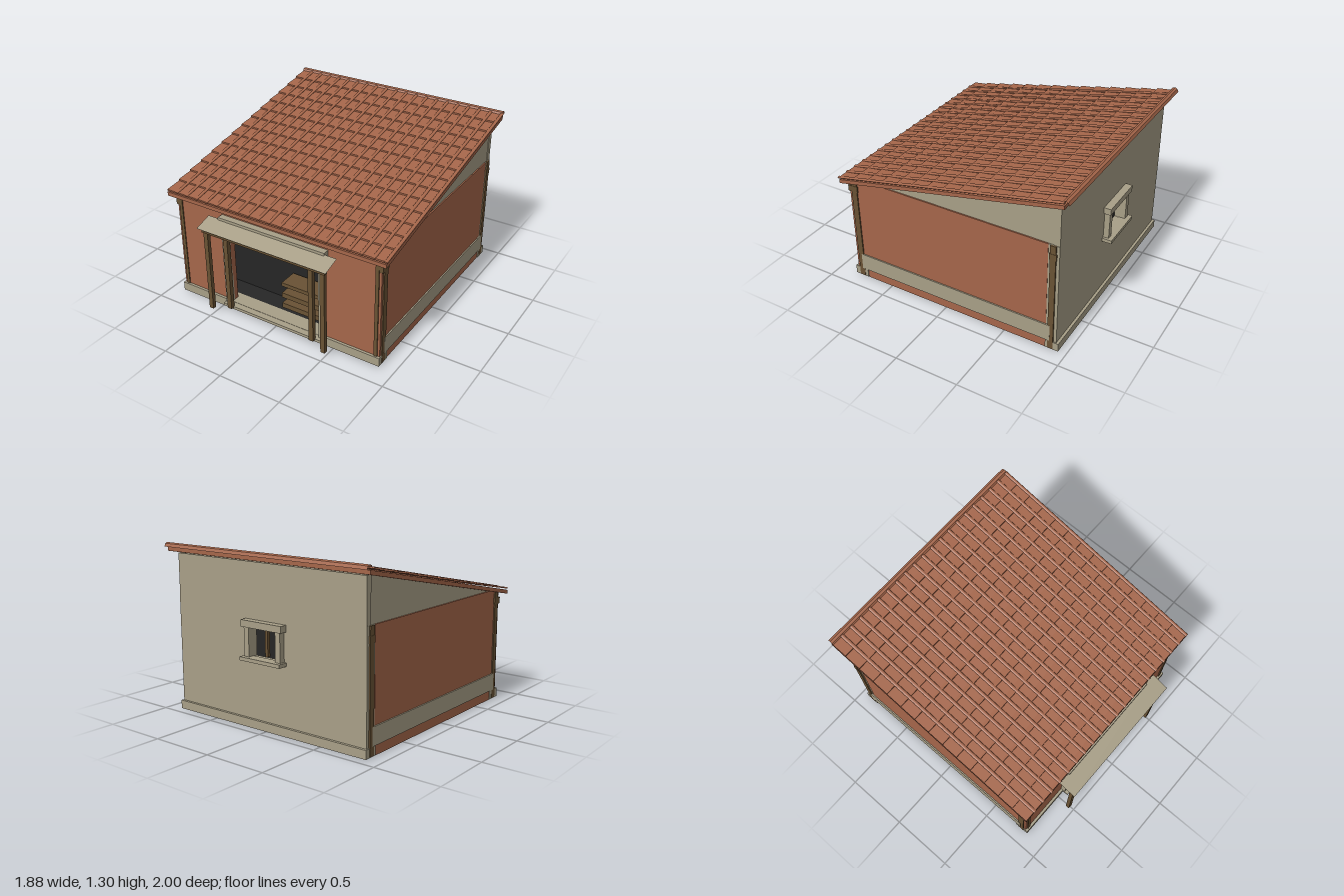
import * as THREE from 'three';

const mat = (name, color, side = THREE.FrontSide) => {
  const m = new THREE.MeshStandardMaterial({ color, side });
  m.name = name;
  return m;
};

export function createModel() {
  const terracotta = mat('terracotta', 0xa5664a, THREE.DoubleSide);
  const stone = mat('plaster', 0xa89f87, THREE.DoubleSide);
  const wood = mat('wood', 0x695234);
  const dark = mat('darkInterior', 0x262626);
  const root = new THREE.Group();
  root.name = 'shed';
  root.position.x = -0.006;

  const add = (name, geo, m) => {
    const mesh = new THREE.Mesh(geo, m);
    mesh.name = name;
    root.add(mesh);
    return mesh;
  };
  // Box given by its limits on each axis
  const box = (name, m, x0, x1, y0, y1, z0, z1) => {
    const mesh = add(name, new THREE.BoxGeometry(x1 - x0, y1 - y0, z1 - z0), m);
    mesh.position.set((x0 + x1) / 2, (y0 + y1) / 2, (z0 + z1) / 2);
    return mesh;
  };
  // The same box on both sides of x = 0
  const pair = (name, m, x0, x1, ...rest) => {
    box(name + 'Left', m, x0, x1, ...rest);
    box(name + 'Right', m, -x1, -x0, ...rest);
  };
  // Solid with a (z, y) profile, running along x
  const prism = (name, m, pts, x0, x1) => {
    const shape = new THREE.Shape(pts.map(p => new THREE.Vector2(...p)));
    const g = new THREE.ExtrudeGeometry(shape, { depth: x1 - x0, bevelEnabled: false });
    g.rotateY(-Math.PI / 2).translate(x1, 0, 0);
    return add(name, g, m);
  };
  // Open sheet with a (z, y) profile from front to back, running along x
  const sheet = (name, m, pts, half) => {
    const v = [];
    for (let i = 0; i < pts.length - 1; i++) {
      const [za, ya] = pts[i], [zb, yb] = pts[i + 1];
      v.push(-half, ya, za, half, ya, za, half, yb, zb);
      v.push(-half, ya, za, half, yb, zb, -half, yb, zb);
    }
    const g = new THREE.BufferGeometry();
    g.setAttribute('position', new THREE.Float32BufferAttribute(v, 3));
    g.computeVertexNormals();
    return add(name, g, m);
  };
  const under = z => 0.85 + (0.865 - z) * 0.2077; // underside of the roof slab

  // Floor and plinths
  box('floor', stone, -0.865, 0.865, 0, 0.05, -0.9, 0.8);
  box('frontPlinth', stone, -0.887, 0.887, 0.005, 0.075, 0.725, 0.84);
  box('backPlinth', stone, -0.887, 0.887, 0.005, 0.07, -0.94, -0.835);

  // Side walls: terracotta panel, plaster gable, low band
  for (const s of [-1, 1]) {
    const side = s > 0 ? 'Left' : 'Right';
    const range = (a, b) => (s > 0 ? [a, b] : [-b, -a]);
    prism('sideWall' + side, terracotta,
      [[-0.835, 0], [0.82, 0], [0.82, under(0.82)], [0.67, 0.89], [-0.835, 0.89]], ...range(0.83, 0.88));
    prism('gable' + side, stone,
      [[0.67, 0.89], [-0.9, 0.89], [-0.9, under(-0.9)]], ...range(0.825, 0.87));
  }
  pair('sideBand', stone, 0.86, 0.89, 0.075, 0.21, -0.87, 0.77);
  pair('backCorner', stone, 0.83, 0.878, 0.07, 0.89, -0.92, -0.835);

  // Front wall around the doorway
  pair('frontWall', terracotta, 0.4, 0.87, 0.05, 0.86, 0.77, 0.82);
  box('wallAboveDoor', terracotta, -0.4, 0.4, 0.735, 0.86, 0.77, 0.82);

  // Back wall with a window hole
  const wall = new THREE.Shape([[-0.875, 0.01], [0.875, 0.01], [0.875, 1.215], [-0.875, 1.215]]
    .map(p => new THREE.Vector2(...p)));
  wall.holes.push(new THREE.Path([[-0.13, 0.535], [-0.13, 0.76], [0.13, 0.76], [0.13, 0.535]]
    .map(p => new THREE.Vector2(...p))));
  add('backWall', new THREE.ExtrudeGeometry(wall, { depth: 0.045, bevelEnabled: false }), stone)
    .position.z = -0.92;

  // Window surround and bars
  box('windowLintel', stone, -0.19, 0.19, 0.755, 0.805, -0.975, -0.915);
  box('windowSill', stone, -0.19, 0.19, 0.513, 0.54, -0.995, -0.915);
  pair('windowJamb', stone, 0.125, 0.17, 0.505, 0.76, -0.963, -0.9);
  pair('windowBar', wood, 0.04, 0.065, 0.53, 0.765, -0.86, -0.835);

  // Dark interior and shelves
  box('interior', dark, -0.825, 0.825, 0.05, 0.865, -0.8, 0.58);
  box('interiorFloor', dark, -0.8, 0.8, 0.05, 0.072, 0.58, 0.77);
  box('interiorCeiling', dark, -0.8, 0.8, 0.78, 0.8, 0.58, 0.77);
  for (const [y0, y1] of [[0.12, 0.16], [0.21, 0.25], [0.31, 0.34]])
    box('shelf', wood, 0.005, 0.37, y0, y1, 0.6, 0.75);

  // Corner posts with small brackets
  pair('frontCornerPost', wood, 0.835, 0.862, 0.075, 0.845, 0.78, 0.828);
  pair('frontSidePost', wood, 0.84, 0.889, 0.01, 0.868, 0.752, 0.8);
  pair('backSidePost', wood, 0.84, 0.889, 0.01, 0.89, -0.897, -0.853);
  pair('frontBracket', wood, 0.838, 0.891, 0.775, 0.825, 0.745, 0.826);
  pair('backBracket', wood, 0.85, 0.891, 0.775, 0.825, -0.902, -0.848);

  // Doorway
  pair('doorJamb', stone, 0.4, 0.442, 0.07, 0.77, 0.81, 0.86);
  pair('doorPost', wood, 0.35, 0.387, 0.065, 0.74, 0.88, 0.915);
  box('doorLintel', stone, -0.458, 0.458, 0.765, 0.81, 0.815, 0.872);
  box('doorSill', stone, -0.445, 0.445, 0.05, 0.073, 0.835, 0.89);
  pair('sillFoot', stone, 0.405, 0.442, 0.035, 0.06, 0.835, 0.872);

  // Porch canopy
  pair('porchPost', wood, 0.484, 0.52, 0.05, 0.72, 0.937, 0.968);
  box('porchBeam', wood, -0.53, 0.53, 0.715, 0.745, 0.945, 0.977);
  sheet('canopy', stone, [[1.0, 0.75], [0.86, 0.793]], 0.553);

  // Roof slab
  prism('roofSlab', terracotta, [[0.865, 0.85], [0.865, 0.88], [-0.967, under(-0.967) + 0.03],
    [-0.967, under(-0.967)]], -0.935, 0.935);

  // Stepped tile rows
  const tileY = z => 0.896 + (0.87 - z) * 0.2085;
  const rows = 14, steps = [];
  for (let i = 0; i < rows; i++) {
    const a = 0.865 - (i * 1.825) / rows, b = 0.865 - ((i + 1) * 1.825) / rows;
    steps.push([a, tileY(a) - 0.007], [a, tileY(a) + 0.005], [b, tileY(b) - 0.007]);
  }
  sheet('tileRows', terracotta, steps, 0.935);

  // Rounded ribs over the tile joints
  const ribLength = Math.hypot(1.835, 1.835 * 0.2085);
  const ribGeo = new THREE.CylinderGeometry(0.014, 0.014, ribLength, 8);
  ribGeo.scale(1, 1, 0.55).rotateX(-Math.PI / 2 + Math.atan(0.2085));
  for (let i = 0; i < 20; i++)
    add('roofRib', ribGeo, terracotta).position.set(-0.842 + i * 0.0933, tileY(-0.0475) + 0.002, -0.0475);

  // Rolled cap along the high edge
  sheet('ridgeCap', terracotta,
    [[-0.945, 1.275], [-0.953, 1.29], [-0.972, 1.296], [-0.99, 1.288], [-1.0, 1.265]], 0.935);

  return root;
}
